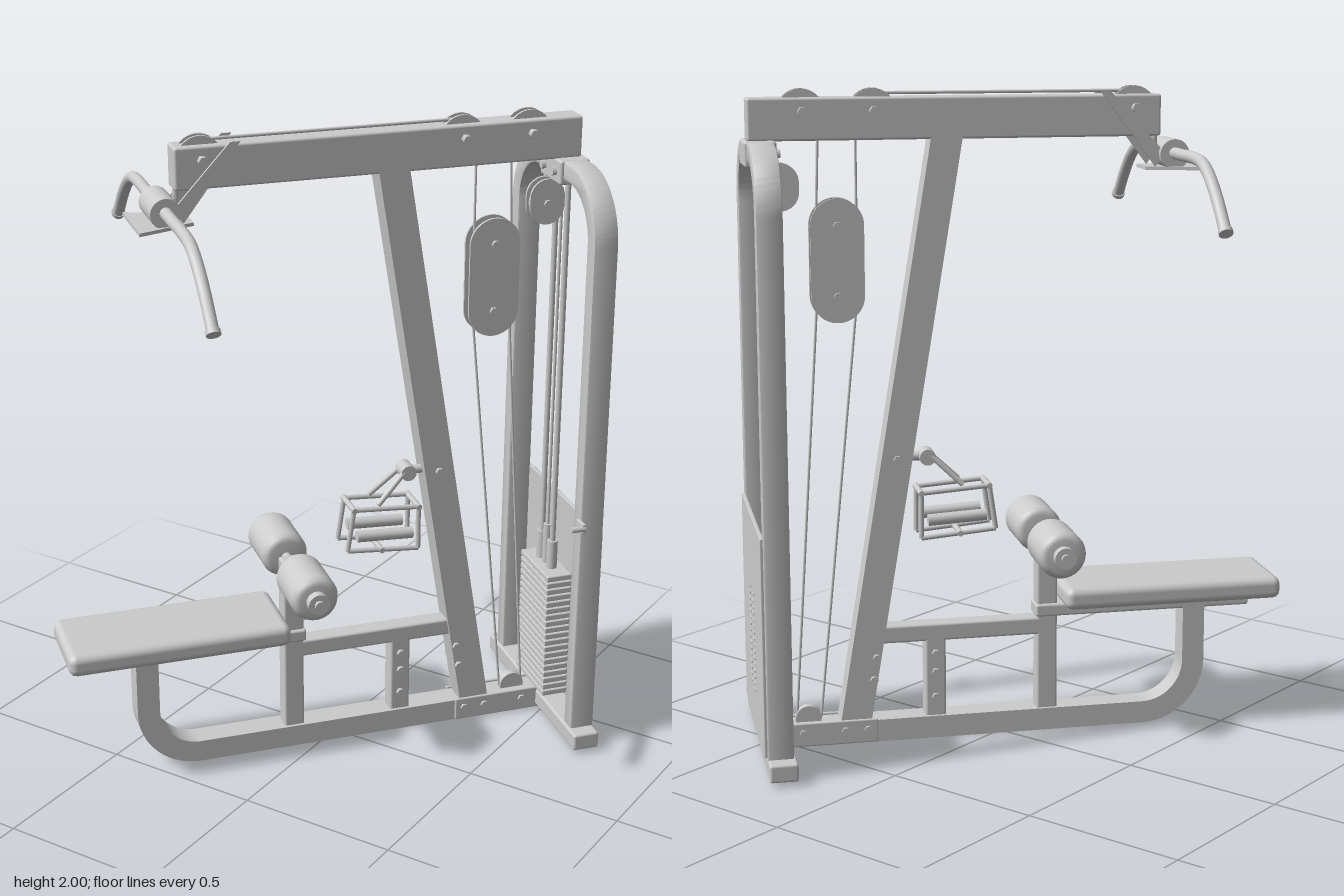
import * as THREE from 'three';
import { toCreasedNormals } from 'three/addons/utils/BufferGeometryUtils.js';
import { RoundedBoxGeometry } from 'three/addons/geometries/RoundedBoxGeometry.js';

const grey = new THREE.MeshStandardMaterial({ color: 0xcccccc });
const V = (x, y, z) => new THREE.Vector3(x, y, z);

export function createModel() {
  const model = new THREE.Group();
  const machine = new THREE.Group(); // local frame: +z seat end, x across
  machine.name = 'pulldownMachine';
  model.add(machine);

  const add = (name, geo, x = 0, y = 0, z = 0) => {
    const m = new THREE.Mesh(geo, grey);
    m.name = name;
    m.position.set(x, y, z);
    machine.add(m);
    return m;
  };
  const box = (name, w, h, d, x, y, z, r = 0.008) =>
    add(name, new RoundedBoxGeometry(w, h, d, 2, Math.min(r, w / 2.1, h / 2.1, d / 2.1)), x, y, z);
  // cylinder lying across the machine
  const axle = (name, r, len, x, y, z, seg = 24) =>
    add(name, new THREE.CylinderGeometry(r, r, len, seg).rotateZ(Math.PI / 2), x, y, z);
  const rod = (name, a, b, r, seg = 10) => {
    const m = add(name, new THREE.CylinderGeometry(r, r, a.distanceTo(b), seg));
    m.position.copy(a).add(b).multiplyScalar(0.5);
    m.quaternion.setFromUnitVectors(V(0, 1, 0), b.clone().sub(a).normalize());
    return m;
  };
  // side profile drawn in (z, y), extruded across x
  const side = (name, shape, w, x = 0) => add(name, toCreasedNormals(
    new THREE.ExtrudeGeometry(shape, { depth: w, bevelEnabled: false, curveSegments: 16 })
      .rotateY(-Math.PI / 2).translate(w / 2, 0, 0), 0.6), x);
  const poly = (pts) => new THREE.Shape(pts.map((p) => new THREE.Vector2(...p)));
  // upright capsule outline centred on (z, y)
  const capsule = (z, y, r, h) => {
    const s = new THREE.Shape();
    s.absarc(z, y + h / 2 - r, r, 0, Math.PI);
    s.absarc(z, y - h / 2 + r, r, Math.PI, Math.PI * 2);
    s.closePath();
    return s;
  };
  const bolts = (w, list) => list.forEach(([y, z]) => axle('bolt', 0.013, w, 0, y, z, 6));

  // floor beam curving up into the front leg
  const leg = new THREE.Shape();
  leg.moveTo(-0.68, 0);
  leg.lineTo(0.455, 0);
  leg.absarc(0.455, 0.2, 0.2, -Math.PI / 2, 0);
  leg.lineTo(0.655, 0.375);
  leg.lineTo(0.585, 0.375);
  leg.absarc(0.455, 0.2, 0.13, 0, -Math.PI / 2, true);
  leg.lineTo(-0.68, 0.07);
  side('floorBeamAndFrontLeg', leg, 0.08);
  for (const s of [-1, 1]) box('footPlate', 0.01, 0.075, 0.3, s * 0.044, 0.04, -0.54);
  bolts(0.115, [[0.045, -0.42], [0.045, -0.49], [0.045, -0.62]]);

  // leaning column
  side('column', poly([[-0.51, 0.03], [-0.415, 0.03], [-0.115, 1.86], [-0.21, 1.86]]), 0.08);
  bolts(0.105, [[0.89, -0.32], [0.2, -0.4], [0.27, -0.39]]);

  // seat, its rails and posts
  box('seatPad', 0.28, 0.07, 0.69, 0, 0.445, 0.53, 0.025);
  box('seatRail', 0.08, 0.04, 0.69, 0, 0.388, 0.455);
  box('rollerPost', 0.06, 0.58, 0.065, 0, 0.35, 0.148);
  box('rearRail', 0.06, 0.055, 0.56, 0, 0.337, -0.14);
  box('rearPost', 0.06, 0.27, 0.065, 0, 0.19, -0.205);
  bolts(0.085, [[0.13, -0.205], [0.21, -0.205], [0.27, -0.205]]);

  // padded thigh rollers
  axle('rollerAxle', 0.015, 0.6, 0, 0.62, 0.145);
  const rollerProfile = [[0, -0.102], [0.05, -0.102], [0.066, -0.095], [0.073, -0.078],
    [0.073, 0.078], [0.066, 0.095], [0.05, 0.102], [0, 0.102]].map((p) => new THREE.Vector2(...p));
  for (const s of [-1, 1]) {
    add('thighRoller', new THREE.LatheGeometry(rollerProfile, 32).rotateZ(Math.PI / 2), s * 0.16, 0.62, 0.145);
    axle('rollerCap', 0.033, 0.03, s * 0.274, 0.62, 0.145);
  }

  // rear frame: foot, hoop, back panel with vents
  box('rearFoot', 0.725, 0.055, 0.085, 0, 0.04, -0.713);
  const hoop = new THREE.Shape();
  const outline = (half, top, r) => {
    hoop.lineTo(half, top - r);
    hoop.absarc(half - r, top - r, r, 0, Math.PI / 2);
    hoop.absarc(-half + r, top - r, r, Math.PI / 2, Math.PI);
    hoop.lineTo(-half, 0.06);
  };
  hoop.moveTo(0.315, 0.06);
  outline(0.315, 1.85, 0.2);
  hoop.lineTo(-0.26, 0.06);
  hoop.lineTo(-0.26, 1.65);
  hoop.absarc(-0.115, 1.65, 0.145, Math.PI, Math.PI / 2, true);
  hoop.absarc(0.115, 1.65, 0.145, Math.PI / 2, 0, true);
  hoop.lineTo(0.26, 0.06);
  add('rearHoop', toCreasedNormals(new THREE.ExtrudeGeometry(hoop, {
    depth: 0.064, bevelThickness: 0.006, bevelSize: 0.006, bevelOffset: -0.006,
    bevelSegments: 2, curveSegments: 16 }), 0.6), 0, 0, -0.749);
  box('backPanel', 0.59, 0.665, 0.012, 0, 0.4, -0.758, 0.003);
  for (const x of [-0.05, 0.05]) for (let i = 0; i < 16; i++)
    box('ventSlot', 0.03, 0.006, 0.004, x, 0.2 + i * 0.02, -0.765, 0.001);
  box('hoopBracket', 0.15, 0.075, 0.095, 0, 1.815, -0.715);
  for (const x of [-0.04, 0.04]) rod('bracketBolt', V(x, 1.815, -0.655), V(x, 1.815, -0.76), 0.013, 6);
  box('hookPlate', 0.05, 0.03, 0.012, 0.325, 0.78, -0.675, 0.003);
  rod('hookPin', V(0.345, 0.78, -0.68), V(0.345, 0.78, -0.635), 0.009);

  // weight stack on guide rods
  for (let i = 0; i < 19; i++) box('weightPlate', 0.22, 0.0195, 0.085, 0, 0.085 + i * 0.0228, -0.71, 0.004);
  for (const s of [-1, 1]) {
    rod('guideRod', V(s * 0.042, 0.06, -0.71), V(s * 0.042, 1.8, -0.71), 0.009, 14);
    rod('rodCollar', V(s * 0.042, 0.5, -0.71), V(s * 0.042, 0.6, -0.71), 0.017, 16);
  }
  rod('selectorStem', V(0, 0.5, -0.71), V(0, 0.64, -0.71), 0.014, 14);
  rod('stackCable', V(0, 0.62, -0.71), V(0, 1.75, -0.71), 0.005, 8);

  // top beam with pulleys set into it
  box('topBeam', 0.08, 0.125, 1.24, 0, 1.9125, -0.13);
  for (const z of [0.41, -0.38, -0.59]) {
    for (const s of [-1, 1]) axle('topPulleyFlange', 0.07, 0.008, s * 0.014, 1.93, z, 32);
    axle('topPulley', 0.058, 0.026, 0, 1.93, z, 32);
    axle('pulleyBolt', 0.014, 0.125, 0, 1.935, z, 6);
  }
  rod('topCable', V(0, 1.985, 0.41), V(0, 1.985, -0.38), 0.005, 8);

  // floating double pulley and the rear hanging pulley
  for (const s of [-1, 1]) {
    side('floatingPulleyPlate', capsule(-0.49, 1.495, 0.08, 0.37), 0.008, s * 0.02);
    side('hangingPulleyPlate', capsule(-0.655, 1.715, 0.055, 0.14), 0.008, s * 0.016);
  }
  for (const y of [1.39, 1.6]) {
    axle('floatingPulley', 0.066, 0.026, 0, y, -0.49, 32);
    axle('pulleyBolt', 0.013, 0.07, 0, y, -0.49, 6);
  }
  axle('hangingPulley', 0.048, 0.024, 0, 1.71, -0.655, 32);
  axle('pulleyBolt', 0.012, 0.06, 0, 1.71, -0.655, 6);
  axle('lowPulley', 0.04, 0.024, 0, 0.08, -0.6, 24);
  for (const [a, b] of [[[1.6, -0.43], [1.9, -0.43]], [[1.6, -0.55], [1.9, -0.54]],
    [[1.39, -0.55], [0.08, -0.635]], [[1.39, -0.43], [0.08, -0.56]]])
    rod('cable', V(0, ...a), V(0, ...b), 0.004, 8);

  // wide pull bar held by a cradle at the beam end
  const half = [[0.29, 1.8], [0.36, 1.79], [0.43, 1.755], [0.5, 1.7], [0.575, 1.625]];
  const path = [...half.slice().reverse().map(([x, y]) => V(-x, y, 0.525)), V(-0.14, 1.8, 0.525),
    V(0.14, 1.8, 0.525), ...half.map(([x, y]) => V(x, y, 0.525))];
  add('pullBar', new THREE.TubeGeometry(new THREE.CatmullRomCurve3(path), 64, 0.018, 14));
  for (const s of [-1, 1]) {
    const end = V(s * 0.575, 1.625, 0.525);
    rod('pullBarEnd', end, end.clone().add(V(s * 0.01, -0.01, 0)), 0.021, 16);
    side('cradleStrap', poly([[0.3, 1.985], [0.33, 1.985], [0.5, 1.8], [0.47, 1.76], [0.44, 1.8]]), 0.008, s * 0.05);
  }
  axle('pullBarHub', 0.045, 0.145, 0, 1.797, 0.525, 32);
  const tray = poly([[-0.11, 0.61], [-0.05, 0.44], [0.05, 0.44], [0.11, 0.61]]);
  add('cradleTray', new THREE.ExtrudeGeometry(tray, { depth: 0.01, bevelEnabled: false })
    .rotateX(Math.PI / 2), 0, 1.76, 0);
  rod('cableStop', V(0, 1.82, 0.48), V(0, 1.93, 0.475), 0.01);

  // row handle hanging from a peg on the column
  rod('handlePeg', V(0, 0.89, -0.32), V(0, 0.89, -0.23), 0.014, 12);
  axle('handleHook', 0.025, 0.06, 0, 0.89, -0.225, 16);
  for (const s of [-1, 1]) {
    rod('handleLink', V(s * 0.02, 0.9, -0.22), V(s * 0.045, 0.805, -0.12), 0.009);
    const frame = [[0.8, -0.04], [0.785, -0.25], [0.645, -0.25], [0.665, -0.02]];
    frame.forEach((p, i) => rod('handleFrame', V(s * 0.05, ...p), V(s * 0.05, ...frame[(i + 1) % 4]), 0.008));
    rod('handleGrip', V(s * 0.05, 0.71, -0.05), V(s * 0.05, 0.7, -0.23), 0.018, 16);
  }
  for (const [y, z] of [[0.8, -0.04], [0.785, -0.25], [0.655, -0.13]]) axle('handleCrossBar', 0.009, 0.12, 0, y, z, 12);

  machine.rotation.y = -THREE.MathUtils.degToRad(40);
  machine.position.set(0.0115, 0, 0.0096);
  return model;
}
